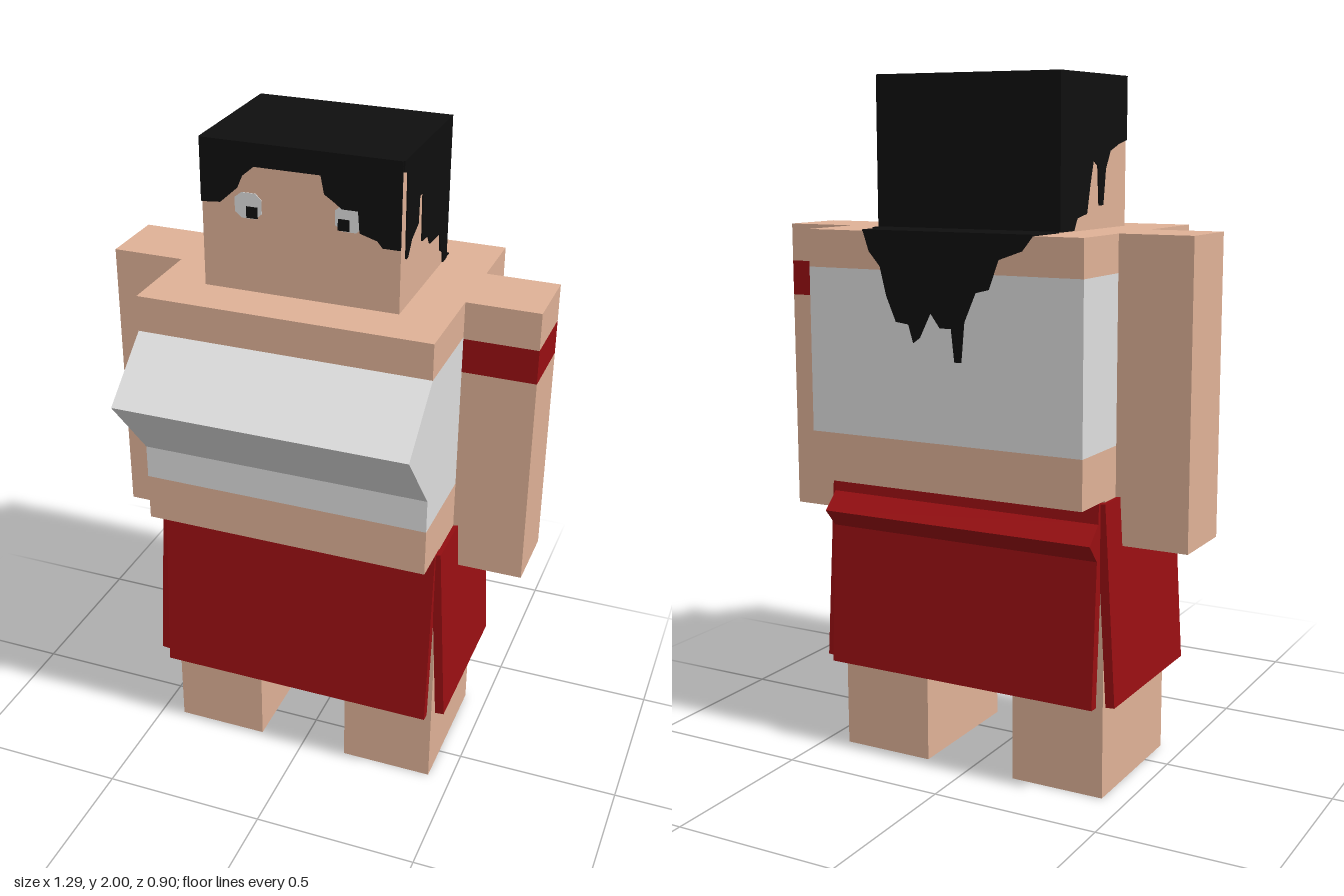
import * as THREE from 'three';

const mat = (name, color) => {
  const m = new THREE.MeshStandardMaterial({ color });
  m.name = name;
  return m;
};

export function createModel() {
  const skin = mat('skin', 0xe0b297);
  const white = mat('white cloth', 0xdfdfdf);
  const red = mat('red cloth', 0x9a0f12);
  const black = mat('black hair', 0x0f0f0f);
  const root = new THREE.Group();
  root.name = 'blockFigure';

  const add = (name, geometry, material, parent = root) => {
    const mesh = new THREE.Mesh(geometry, material);
    mesh.name = name;
    parent.add(mesh);
    return mesh;
  };
  const group = (name) => {
    const g = new THREE.Group();
    g.name = name;
    root.add(g);
    return g;
  };
  // Box given by its lower and upper corners
  const box = (name, [x0, y0, z0], [x1, y1, z1], material, parent) => {
    const g = new THREE.BoxGeometry(x1 - x0, y1 - y0, z1 - z0);
    g.translate((x0 + x1) / 2, (y0 + y1) / 2, (z0 + z1) / 2);
    return add(name, g, material, parent);
  };
  const extrude = (points, depth) => new THREE.ExtrudeGeometry(
    new THREE.Shape(points.map(([x, y]) => new THREE.Vector2(x, y))),
    { depth, bevelEnabled: false });
  // Bar running along x with a (z, y) cross-section
  const barX = (name, points, halfWidth, material, parent) => {
    const g = extrude(points.map(([z, y]) => [-z, y]), halfWidth * 2);
    g.rotateY(Math.PI / 2).translate(-halfWidth, 0, 0);
    return add(name, g, material, parent);
  };

  // Torso in stacked bands
  const torso = group('torso');
  const band = (name, y0, y1, m) => box(name, [-0.428, y0, -0.447], [0.428, y1, 0.265], m, torso);
  band('waist', 0.86, 1.0, skin);
  band('top', 1.0, 1.47, white);
  band('shoulders', 1.47, 1.575, skin);
  barX('chestWedge', [[0.265, 1.47], [0.45, 1.318], [0.265, 1.1]], 0.428, white, torso);

  // Arms and legs
  for (const [side, s] of [['left', 1], ['right', -1]]) {
    const arm = group(side + 'Arm');
    const part = (name, y0, y1, m) => {
      const x = [s * 0.428, s * 0.643].sort((a, b) => a - b);
      box(name, [x[0], y0, -0.235], [x[1], y1, -0.02], m, arm);
    };
    if (s > 0) {
      part('upperArm', 1.465, 1.575, skin);
      part('armBand', 1.363, 1.465, red);
      part('lowerArm', 0.72, 1.363, skin);
    } else part('wholeArm', 0.72, 1.575, skin);
    const lx = [s * 0.143, s * 0.428].sort((a, b) => a - b);
    box(side + 'Leg', [lx[0], 0, -0.304], [lx[1], 0.86, 0.121], skin);
  }

  // Skirt: four flared slabs and a ridge at the back
  const skirt = group('skirt');
  barX('frontPanel', [[0.132, 0.853], [0.162, 0.858], [0.2, 0.285], [0.172, 0.283]], 0.428, red, skirt);
  barX('backPanel', [[-0.312, 0.853], [-0.342, 0.858], [-0.378, 0.285], [-0.35, 0.283]], 0.428, red, skirt);
  barX('backRidge', [[-0.343, 0.805], [-0.398, 0.753], [-0.352, 0.7]], 0.428, red, skirt);
  for (const s of [1, -1]) {
    const g = extrude([[0.415, 0.853], [0.442, 0.858], [0.476, 0.285], [0.449, 0.283]]
      .map(([x, y]) => [s * x, y]), 0.485);
    add(s > 0 ? 'leftPanel' : 'rightPanel', g.translate(0, 0, -0.332), red, skirt);
  }

  // Head, with hair on its top and back faces
  const head = group('head');
  box('skull', [-0.285, 1.575, -0.304], [0.285, 2, 0.121],
    [skin, skin, black, skin, skin, black], head);

  // Thin hair and eye plates
  const plate = (name, points, m, depth, place) =>
    add(name, place(extrude(points, depth)), m, head);
  const onFront = (g) => g.translate(0, 0, 0.121);
  const onLeft = (g) => g.rotateY(Math.PI / 2).translate(0.285, 0, 0);
  const onRight = (g) => g.rotateY(-Math.PI / 2).translate(-0.285, 0, 0);
  const onBack = (g) => g.rotateY(Math.PI).translate(0, 0, -0.447);
  const onTop = (g) => g.rotateX(-Math.PI / 2).translate(0, 1.575, 0);

  plate('fringe', [[-0.285, 2], [-0.285, 1.82], [-0.23, 1.825], [-0.18, 1.87], [-0.165, 1.905],
    [-0.13, 1.935], [0.06, 1.935], [0.07, 1.885], [0.1, 1.865], [0.12, 1.85], [0.165, 1.85],
    [0.17, 1.79], [0.22, 1.775], [0.235, 1.757], [0.285, 1.757], [0.285, 2]], black, 0.004, onFront);
  plate('leftHair', [[-0.121, 2], [-0.121, 1.97], [-0.09, 1.96], [-0.085, 1.72], [-0.07, 1.72],
    [-0.04, 1.76], [0.015, 1.785], [0.02, 1.86], [0.05, 1.86], [0.055, 1.72], [0.11, 1.715],
    [0.13, 1.685], [0.225, 1.68], [0.235, 1.625], [0.262, 1.61], [0.268, 1.577], [0.304, 1.577],
    [0.304, 2]], black, 0.004, onLeft);
  plate('rightHair', [[-0.304, 2], [-0.304, 1.577], [-0.22, 1.577], [-0.2, 1.61], [-0.14, 1.62],
    [-0.12, 1.7], [-0.1, 1.765], [-0.07, 1.75], [-0.06, 1.64], [-0.035, 1.64], [-0.02, 1.74],
    [0.01, 1.79], [0.07, 1.81], [0.121, 1.82], [0.121, 2]], black, 0.004, onRight);
  plate('napeHair', [[-0.285, 0.304], [0.285, 0.304], [0.285, 0.34], [0.25, 0.345],
    [0.245, 0.451], [-0.285, 0.451]], black, 0.004, onTop);
  plate('backHair', [[-0.245, 1.579], [-0.225, 1.52], [-0.19, 1.48], [-0.17, 1.4], [-0.14, 1.33],
    [-0.1, 1.325], [-0.085, 1.275], [-0.065, 1.29], [-0.03, 1.36], [0, 1.32], [0.035, 1.32],
    [0.045, 1.23], [0.065, 1.23], [0.075, 1.34], [0.11, 1.42], [0.15, 1.43], [0.18, 1.51],
    [0.25, 1.535], [0.285, 1.579]], black, 0.004, onBack);

  for (const [side, x, px] of [['right', -0.148, -0.138], ['left', 0.14, 0.125]]) {
    const eye = [[-0.04, -0.02], [-0.02, -0.036], [0.02, -0.036], [0.038, -0.02],
      [0.038, 0.02], [0.02, 0.036], [-0.02, 0.036], [-0.04, 0.02]];
    plate(side + 'Eye', eye.map(([u, v]) => [x + u, 1.824 + v]), white, 0.002, onFront);
    plate(side + 'Pupil', [[-0.016, -0.018], [0.016, -0.018], [0.016, 0.014], [-0.016, 0.014]]
      .map(([u, v]) => [px + u, 1.808 + v]), black, 0.004, onFront);
  }
  return root;
}
